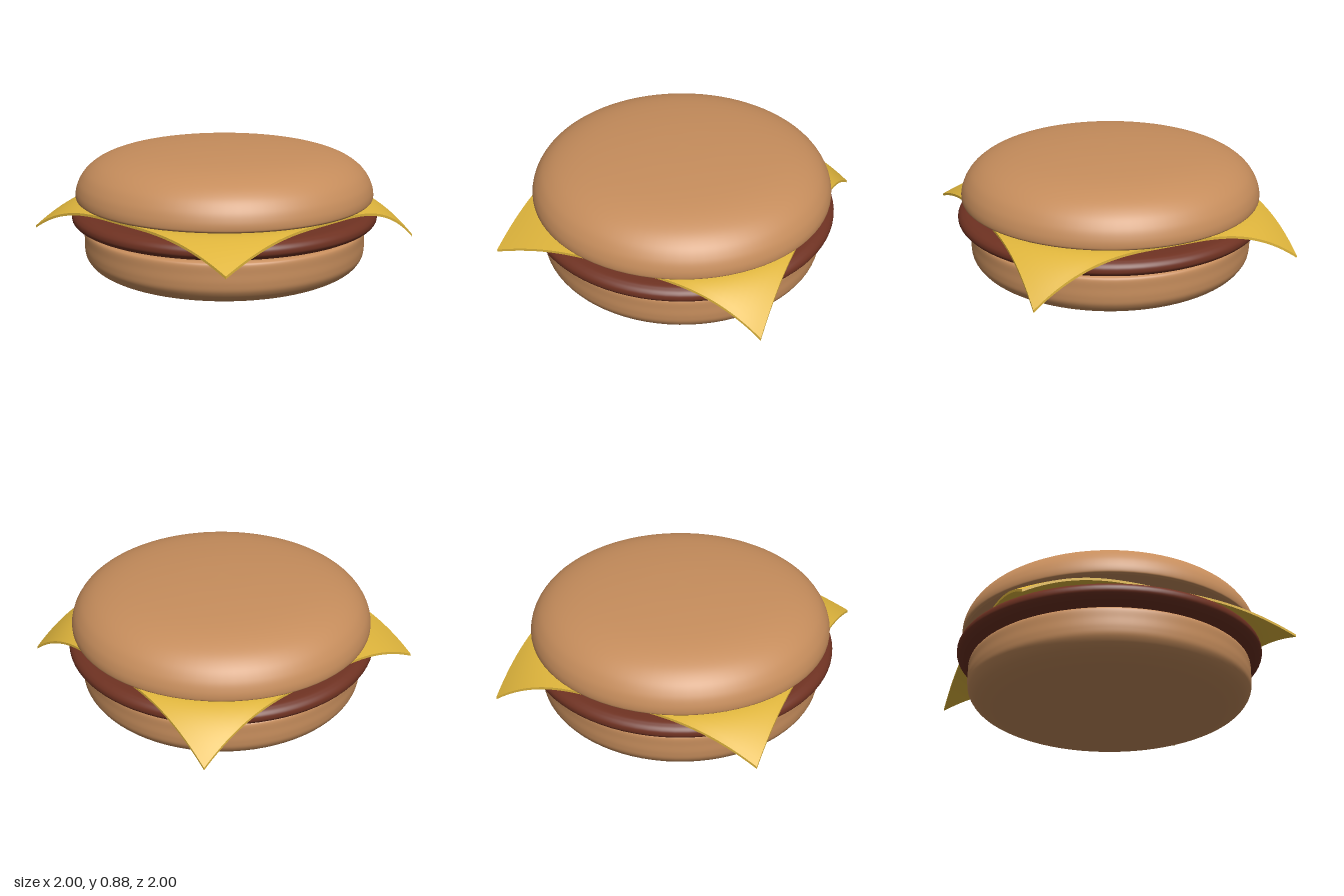
import * as THREE from 'three';

const BUN = 0xc68d5c, PATTY = 0x6f3222, CHEESE = 0xdfb53c;

// Smooth round layer: profile points run from the bottom centre outwards and up to the top centre
function layer(name, color, profile) {
  const curve = new THREE.SplineCurve(profile.map(([r, y]) => new THREE.Vector2(r, y)));
  const points = curve.getPoints(72);
  points.forEach((p) => { p.x = Math.max(0, p.x); });
  const mesh = new THREE.Mesh(
    new THREE.LatheGeometry(points, 80),
    new THREE.MeshStandardMaterial({ color })
  );
  mesh.name = name;
  return mesh;
}

// Thin square slice whose four corners sag by different amounts
function cheeseSlice() {
  const half = 0.885, flat = 0.9, tip = half * Math.SQRT2;
  const geometry = new THREE.BoxGeometry(2 * half, 0.016, 2 * half, 48, 1, 48);
  const pos = geometry.attributes.position;
  for (let i = 0; i < pos.count; i++) {
    const x = pos.getX(i), z = pos.getZ(i);
    const u = (x / half + 1) / 2, v = (z / half + 1) / 2;
    // Sag at each corner, blended across the slice
    const sag = THREE.MathUtils.lerp(
      THREE.MathUtils.lerp(0.235, 0.25, u),
      THREE.MathUtils.lerp(0.185, 0.14, u), v);
    const t = Math.max(0, Math.hypot(x, z) - flat) / (tip - flat);
    pos.setY(i, pos.getY(i) + 0.503 - sag * Math.pow(t, 1.6));
  }
  geometry.computeVertexNormals();
  const mesh = new THREE.Mesh(geometry, new THREE.MeshStandardMaterial({ color: CHEESE }));
  mesh.name = 'cheeseSlice';
  return mesh;
}

export function createModel() {
  const group = new THREE.Group();
  group.name = 'cheeseburger';

  group.add(
    layer('bottomBun', BUN, [
      [0, 0], [0.3, 0.006], [0.55, 0.022], [0.75, 0.055], [0.86, 0.1], [0.91, 0.155],
      [0.922, 0.21], [0.922, 0.27], [0.921, 0.325], [0.905, 0.344], [0.87, 0.35],
      [0.7, 0.356], [0.4, 0.358], [0, 0.358],
    ]),
    layer('patty', PATTY, [
      [0, 0.364], [0.4, 0.364], [0.75, 0.364], [0.92, 0.367], [0.97, 0.38], [0.994, 0.4],
      [1, 0.42], [0.994, 0.443], [0.97, 0.464], [0.92, 0.477], [0.75, 0.48], [0.4, 0.48], [0, 0.48],
    ]),
    cheeseSlice(),
    layer('topBun', BUN, [
      [0, 0.52], [0.4, 0.521], [0.75, 0.526], [0.93, 0.532], [0.962, 0.539], [0.972, 0.555],
      [0.968, 0.6], [0.945, 0.66], [0.895, 0.725], [0.81, 0.782], [0.68, 0.826],
      [0.5, 0.855], [0.25, 0.875], [0, 0.881],
    ])
  );
  return group;
}
